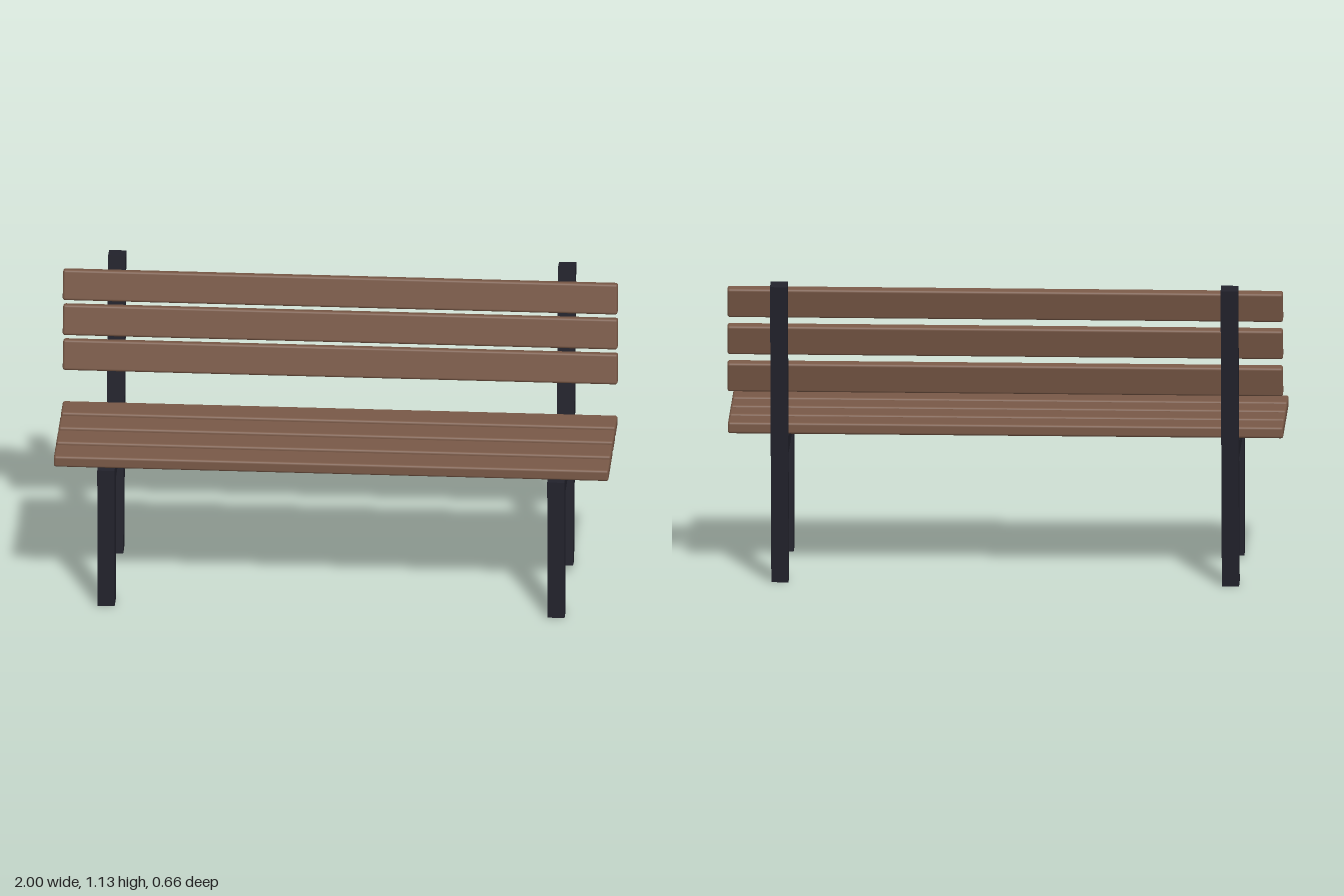
import * as THREE from 'three';
import { RoundedBoxGeometry } from 'three/addons/geometries/RoundedBoxGeometry.js';

export function createModel() {
  const bench = new THREE.Group();
  bench.name = 'bench';
  const wood = new THREE.MeshStandardMaterial({ color: 0x795947 });
  wood.name = 'brown wood';
  const metal = new THREE.MeshStandardMaterial({ color: 0x22222c });
  metal.name = 'dark metal';

  function add(name, geometry, material, x, y, z, tilt = 0) {
    const mesh = new THREE.Mesh(geometry, material);
    mesh.name = name;
    mesh.position.set(x, y, z);
    mesh.rotation.x = tilt;
    bench.add(mesh);
  }

  // Side frames: upright front leg, seat rail and a leaning back post
  const bar = 0.062;
  const legGeo = new THREE.BoxGeometry(bar, 0.477, bar);
  const railGeo = new THREE.BoxGeometry(bar, 0.061, 0.565);
  const postGeo = new THREE.BoxGeometry(bar, 1.125, bar);
  for (const [label, side] of [['left', 1], ['right', -1]]) {
    const x = side * 0.811;
    add(label + 'FrontLeg', legGeo, metal, x, 0.243, 0.285);
    add(label + 'SeatRail', railGeo, metal, x, 0.51, 0.046);
    add(label + 'BackPost', postGeo, metal, x, 0.564, -0.239, -0.105);
  }

  // Planks with softened edges: four for the seat, three for the back
  const slatGeo = new RoundedBoxGeometry(2, 0.042, 0.112, 3, 0.009);
  for (let i = 0; i < 4; i++) {
    add('seatSlat' + (i + 1), slatGeo, wood, 0, 0.565, 0.26 - i * 0.1313);
  }
  const backGeo = new RoundedBoxGeometry(2, 0.112, 0.039, 3, 0.009);
  for (let i = 0; i < 3; i++) {
    add('backSlat' + (i + 1), backGeo, wood, 0, 0.762 + i * 0.1372, -0.203, -0.21);
  }
  return bench;
}
